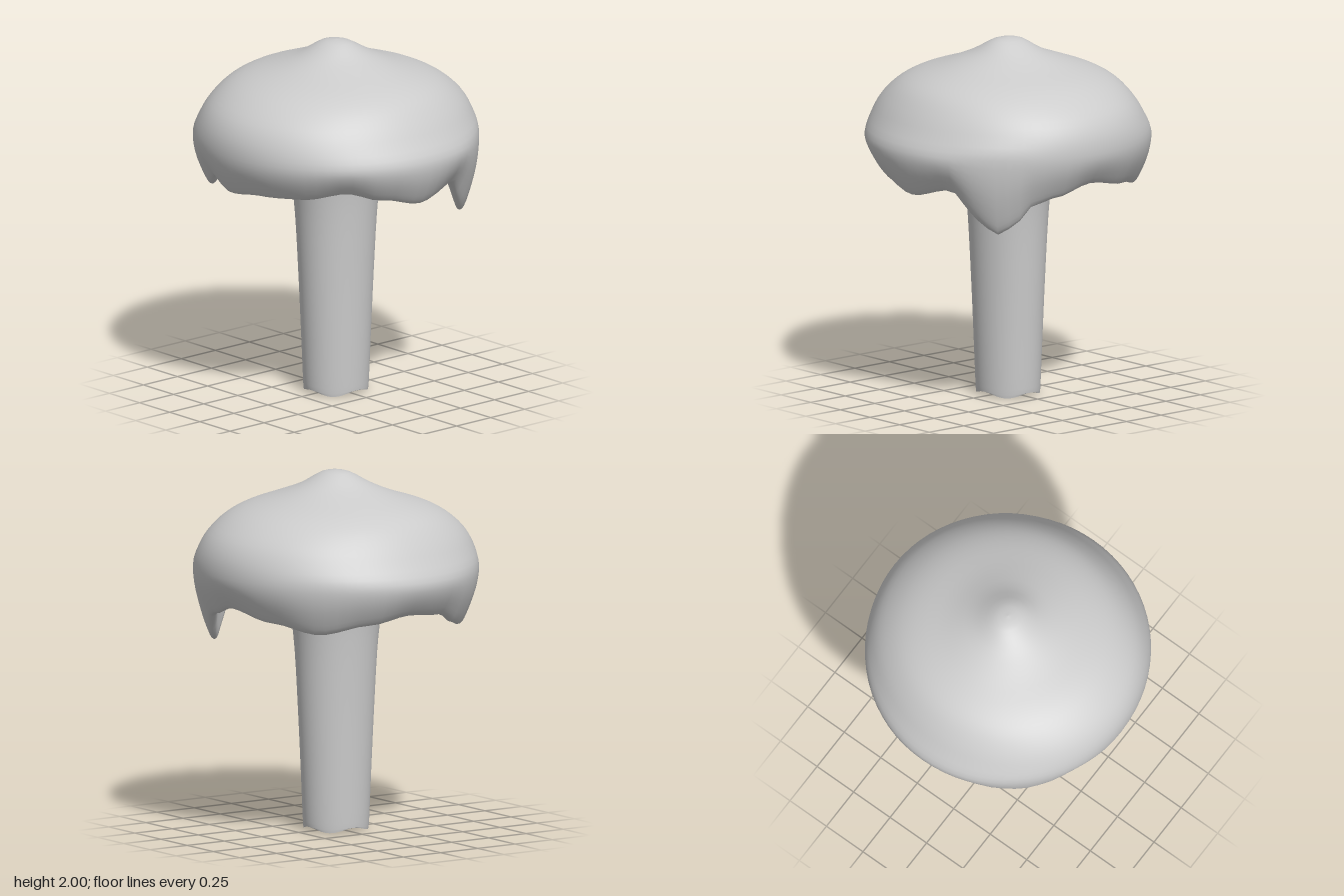
import * as THREE from 'three';

const SIDES = 72;
const material = new THREE.MeshStandardMaterial({ color: 0xcccccc, side: THREE.DoubleSide });

// Skin of revolution whose [radius x, radius z, height] profile may change with the angle
function skin(name, rows, profileAt) {
  const pos = [], index = [];
  for (let i = 0; i < SIDES; i++) {
    const a = (i / SIDES) * Math.PI * 2;
    const pts = profileAt(a).map((p) => new THREE.Vector3(...p));
    const curve = new THREE.CatmullRomCurve3(pts, false, 'catmullrom', 0.5);
    for (let j = 0; j <= rows; j++) {
      const p = curve.getPoint(j / rows);
      pos.push(p.x * Math.cos(a), p.z, p.y * Math.sin(a));
      if (j === rows) continue;
      const k = i * (rows + 1) + j, n = ((i + 1) % SIDES) * (rows + 1) + j;
      index.push(k, n, k + 1, n, n + 1, k + 1);
    }
  }
  const geometry = new THREE.BufferGeometry();
  geometry.setAttribute('position', new THREE.Float32BufferAttribute(pos, 3));
  geometry.setIndex(index);
  geometry.computeVertexNormals();
  const mesh = new THREE.Mesh(geometry, material);
  mesh.name = name;
  return mesh;
}

// Height of the dripping rim: [degrees from +x towards +z, y]
const RIM = [
  [0, 1.29], [20, 1.23], [30, 1.19], [38, 1.08], [45, 1.04], [52, 1.08], [59, 1.18], [67, 1.27],
  [90, 1.21], [110, 1.26], [127, 1.31], [147, 1.27], [168, 1.26], [189, 1.23], [204, 1.28],
  [217, 1.19], [226, 1.16], [236, 1.19], [250, 1.26], [270, 1.28], [290, 1.24], [313, 1.19],
  [335, 1.24], [360, 1.29],
];

function rimHeight(a) {
  const d = THREE.MathUtils.radToDeg(a);
  const i = RIM.findIndex((p) => p[0] > d);
  const [a0, y0] = RIM[i - 1], [a1, y1] = RIM[i];
  return THREE.MathUtils.lerp(y0, y1, THREE.MathUtils.smoothstep(d, a0, a1));
}

// Cap: peaked top, round shoulder, dripping rim and hollow underside
function capProfile(a) {
  const rim = rimHeight(a);
  const wall = (t) => THREE.MathUtils.lerp(1.47, rim, t);
  return [
    [0.001, 0.001, 2], [0.08, 0.09, 1.985], [0.2, 0.2, 1.92], [0.33, 0.35, 1.865],
    [0.5, 0.5, 1.81], [0.62, 0.6, 1.75], [0.72, 0.675, 1.665], [0.772, 0.735, 1.57],
    [0.785, 0.79, 1.47], [0.768, 0.78, wall(0.4)], [0.725, 0.735, wall(0.8)],
    [0.69, 0.695, rim], [0.655, 0.66, rim + 0.02], [0.645, 0.65, wall(0.6)],
    [0.61, 0.61, 1.42], [0.52, 0.52, 1.47], [0.42, 0.42, 1.46], [0.33, 0.33, 1.38],
  ];
}

// Stem: flares into the cap and is open at its slightly wavy foot
function stemProfile(a) {
  const foot = 0.012 - 0.012 * Math.cos(4 * a + Math.PI);
  return [
    [0.42, 0.41, 1.46], [0.335, 0.31, 1.385], [0.285, 0.25, 1.29], [0.26, 0.228, 1.2],
    [0.235, 0.212, 1], [0.215, 0.195, 0.65], [0.198, 0.182, 0.3], [0.187, 0.173, 0.05],
    [0.182, 0.17, foot],
  ];
}

export function createModel() {
  const group = new THREE.Group();
  group.name = 'mushroom';
  group.add(skin('cap', 51, capProfile), skin('stem', 24, stemProfile));
  return group;
}
